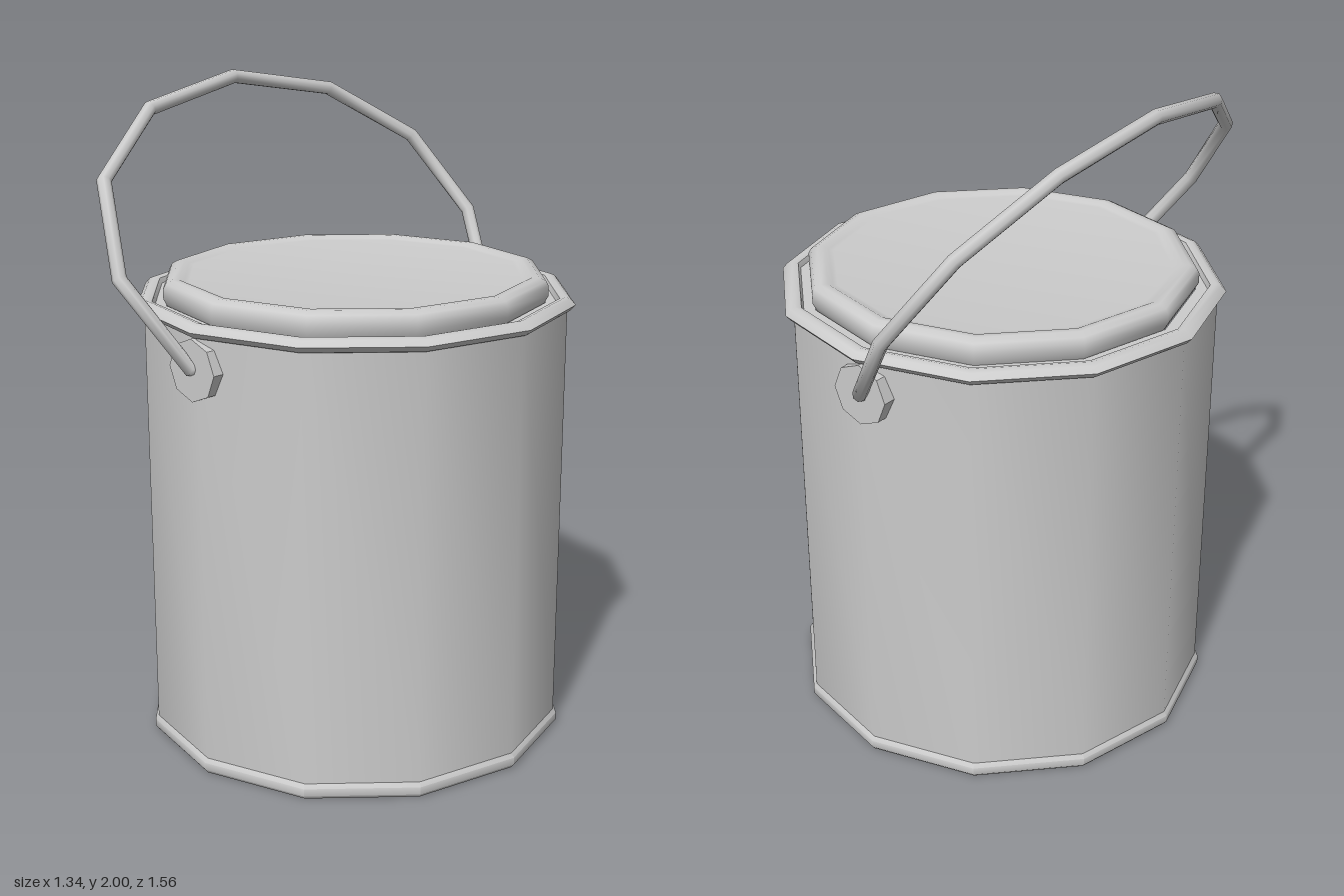
import * as THREE from 'three';
import { toCreasedNormals } from 'three/addons/utils/BufferGeometryUtils.js';

const SIDES = 12;
const material = new THREE.MeshStandardMaterial({ color: 0xcccccc });

// Turned part from [radius, height] pairs, listed bottom to top
function turned(name, profile) {
  const points = profile.map(([r, y]) => new THREE.Vector2(r, y));
  const geometry = toCreasedNormals(new THREE.LatheGeometry(points, SIDES), 0.75);
  const mesh = new THREE.Mesh(geometry, material);
  mesh.name = name;
  return mesh;
}

// Straight-segment path whose samples land exactly on the corners
class BentWire extends THREE.Curve {
  constructor(points) {
    super();
    this.points = points;
  }
  getPoint(t, target = new THREE.Vector3()) {
    return target.copy(this.points[Math.round(t * (this.points.length - 1))]);
  }
  getPointAt(u, target) {
    return this.getPoint(u, target);
  }
  getTangentAt(u, target = new THREE.Vector3()) {
    const last = this.points.length - 1;
    const i = Math.round(u * last);
    const p = this.points;
    target.set(0, 0, 0);
    if (i > 0) target.add(p[i].clone().sub(p[i - 1]).normalize());
    if (i < last) target.add(p[i + 1].clone().sub(p[i]).normalize());
    return target.normalize();
  }
}

export function createModel() {
  const model = new THREE.Group();
  model.name = 'paintCan';

  // Can wall, rolled rims and base
  model.add(turned('canWall', [[0.645, 0.03], [0.645, 1.36]]));
  model.add(turned('bottomRim', [
    [0, 0.006], [0.62, 0.006], [0.625, 0], [0.645, 0], [0.655, 0.012], [0.655, 0.035], [0.643, 0.05],
  ]));
  model.add(turned('topRim', [
    [0.64, 1.34], [0.655, 1.345], [0.67, 1.362], [0.655, 1.379], [0.64, 1.385],
    [0.622, 1.38], [0.615, 1.365], [0.58, 1.365],
  ]));

  // Pressed lid with a raised ring around a slightly sunken panel
  model.add(turned('lid', [
    [0.575, 1.36], [0.588, 1.385], [0.588, 1.415], [0.58, 1.43], [0.56, 1.44],
    [0.54, 1.44], [0.525, 1.432], [0.51, 1.43], [0, 1.43],
  ]));

  // Octagonal ears, front and back
  const pivotX = -0.01;
  const pivotY = 1.25;
  for (const side of [1, -1]) {
    const ear = new THREE.Mesh(
      toCreasedNormals(new THREE.CylinderGeometry(0.092, 0.092, 0.04, 8), 0.6), material);
    ear.name = side > 0 ? 'frontEar' : 'backEar';
    ear.rotation.x = Math.PI / 2;
    ear.position.set(pivotX, pivotY, side * 0.638);
    model.add(ear);
  }

  // Wire handle: half outline as [z, height], mirrored and leaning to one side
  const half = [[0.62, 1.25], [0.66, 1.255], [0.76, 1.5], [0.662, 1.745], [0.383, 1.915]];
  const outline = [...half, [0, 1.978], ...half.map(([z, y]) => [-z, y]).reverse()];
  const path = outline.map(([z, y]) => new THREE.Vector3(pivotX - (y - pivotY) * 0.7, y, z));
  const handle = new THREE.Mesh(
    new THREE.TubeGeometry(new BentWire(path), path.length - 1, 0.022, 8), material);
  handle.name = 'handle';
  model.add(handle);

  return model;
}
